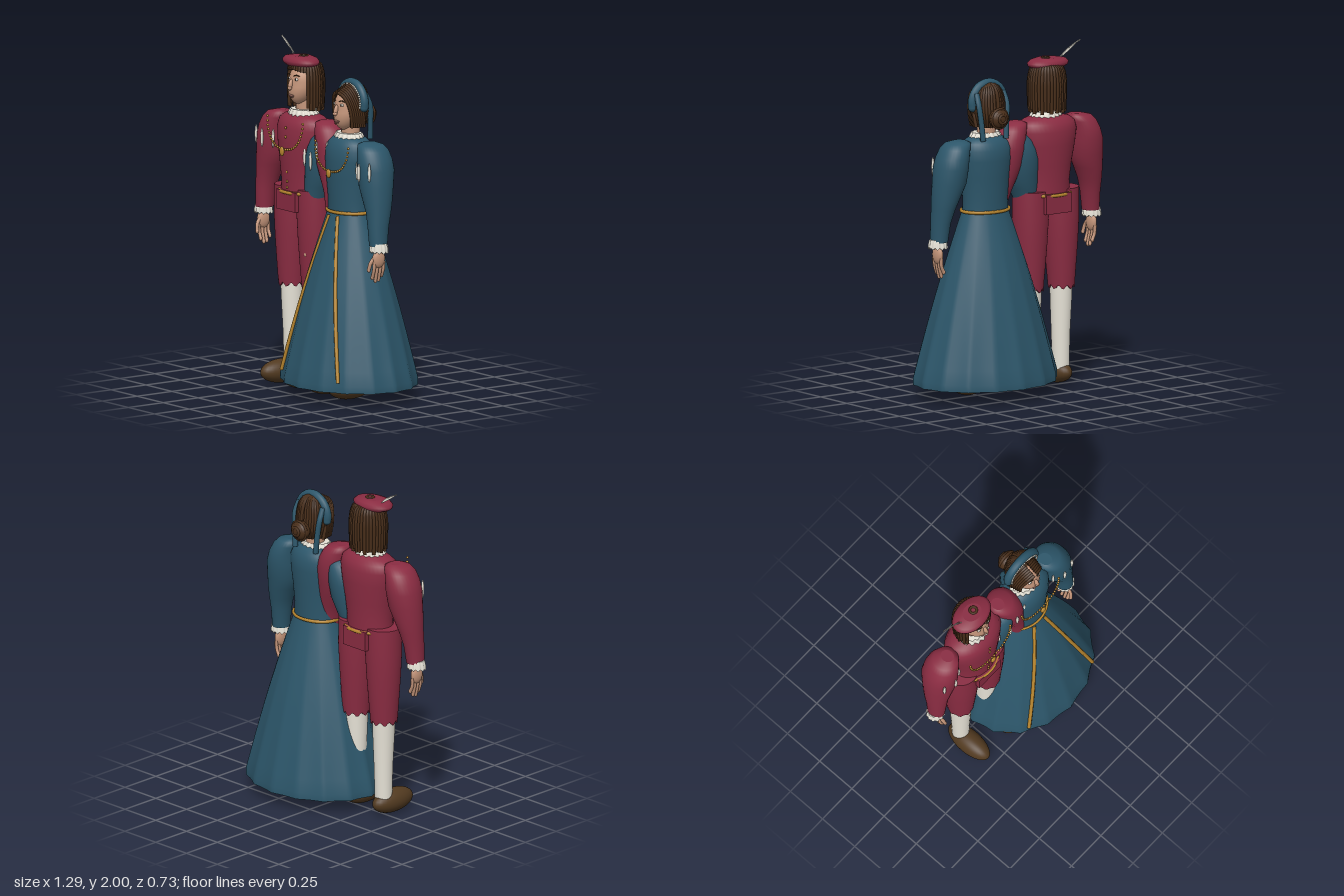
import * as THREE from 'three';

const mat = (name, color, side = THREE.FrontSide) => {
  const m = new THREE.MeshStandardMaterial({ color, side });
  m.name = name;
  return m;
};
const M = {
  red: mat('crimson cloth', 0x8a2c42), teal: mat('teal cloth', 0x2c566a),
  gold: mat('gold', 0xb8862f), white: mat('linen', 0xe8e4d8, THREE.DoubleSide),
  skin: mat('skin', 0xc4957a), hair: mat('brown hair', 0x4a2f1a),
  shoe: mat('shoe leather', 0x523a20), lip: mat('lip', 0x8c6156), dark: mat('pupil', 0x1d1512),
};
const V = (x, y, z) => new THREE.Vector3(x, y, z);

function add(parent, geo, material, name, x = 0, y = 0, z = 0) {
  const m = new THREE.Mesh(geo, material);
  m.name = name;
  m.position.set(x, y, z);
  parent.add(m);
  return m;
}
function ball(parent, material, name, [x, y, z], [rx, ry, rz], n = 20) {
  return add(parent, new THREE.SphereGeometry(1, n, Math.ceil(n * 0.7)).scale(rx, ry, rz), material, name, x, y, z);
}
function tube(parent, material, name, pts, r, seg = 10, sides = 6) {
  const curve = new THREE.CatmullRomCurve3(pts);
  return add(parent, new THREE.TubeGeometry(curve, seg, r, sides), material, name);
}

// Closed loft through elliptical rings [y, cx, cz, rx, rz]; wave(angle, i) scales and lowers each point
function loft(parent, material, name, rings, n = 32, wave = () => [1, 0]) {
  const rows = [...rings].sort((a, b) => a[0] - b[0]);
  const pos = [], idx = [];
  rows.forEach(([y, cx, cz, rx, rz], i) => {
    for (let j = 0; j < n; j++) {
      const a = (j / n) * Math.PI * 2, [k, dy] = wave(a, i);
      pos.push(cx + rx * k * Math.sin(a), y + dy, cz + rz * k * Math.cos(a));
    }
  });
  for (let i = 0; i < rows.length - 1; i++) for (let j = 0; j < n; j++) {
    const a = i * n + j, b = i * n + (j + 1) % n;
    idx.push(a, b, a + n, b, b + n, a + n);
  }
  [0, rows.length - 1].forEach((i) => {
    const start = pos.length / 3, [y, cx, cz] = rows[i];
    for (let j = 0; j < n * 3; j++) { if (j < n) pos.push(...pos.slice((i * n + j) * 3, (i * n + j) * 3 + 3)); }
    pos.push(cx, y, cz);
    for (let j = 0; j < n; j++) {
      const a = start + j, b = start + (j + 1) % n;
      idx.push(...(i ? [a, b, start + n] : [b, a, start + n]));
    }
  });
  const g = new THREE.BufferGeometry();
  g.setAttribute('position', new THREE.Float32BufferAttribute(pos, 3));
  g.setIndex(idx);
  g.computeVertexNormals();
  return add(parent, g, material, name);
}

// Pleated linen band for collars and cuffs
function ruff(parent, name, x, y, z, rx, rz, h, pleats) {
  loft(parent, M.white, name, [[y - h / 2, x, z, rx, rz], [y, x, z, rx * 0.96, rz * 0.96], [y + h / 2, x, z, rx * 0.85, rz * 0.85]],
    pleats * 4, (a, i) => [1 + 0.06 * Math.cos(a * pleats), i ? 0 : 0.006 * Math.sin(a * pleats)]);
}

// Puffed sleeve with linen slashes, cuff and hand; s mirrors it
function arm(parent, cloth, s, dx, dy) {
  const g = new THREE.Group();
  g.name = s > 0 ? 'leftArm' : 'rightArm';
  parent.add(g);
  const X = (x) => s * (x + dx), Y = (y) => y + dy;
  loft(g, cloth, 'sleeve', [
    [1.572, 0.215, -0.005, 0.035, 0.04], [1.56, 0.23, -0.005, 0.075, 0.075], [1.53, 0.25, -0.005, 0.085, 0.095], [1.48, 0.268, -0.005, 0.094, 0.106],
    [1.42, 0.28, -0.005, 0.1, 0.11], [1.33, 0.288, 0, 0.1, 0.1], [1.25, 0.308, 0.005, 0.083, 0.088],
    [1.18, 0.324, 0.01, 0.068, 0.075], [1.1, 0.335, 0.02, 0.056, 0.064], [0.99, 0.342, 0.025, 0.05, 0.054],
  ].map(([y, cx, ...r]) => [Y(y), X(cx), ...r]));
  [[0.2, 1.41, 0.07], [0.262, 1.41, 0.104], [0.34, 1.42, 0.087]].forEach(([x, y, z]) =>
    ball(g, M.white, 'sleeveSlash', [X(x), Y(y), z], [0.01, 0.055, 0.008], 12));
  ruff(g, 'cuff', X(0.35), Y(0.98), 0.026, 0.056, 0.052, 0.05, 12);
  ball(g, M.skin, 'palm', [X(0.35), Y(0.915), 0.028], [0.023, 0.055, 0.042]);
  for (let i = 0; i < 4; i++) {
    const z = 0.06 - i * 0.022, low = [0.805, 0.785, 0.79, 0.815][i];
    tube(g, M.skin, 'finger', [V(X(0.35), Y(0.9), z - 0.002), V(X(0.347), Y(0.85), z), V(X(0.332), Y(low), z)], 0.0105);
    ball(g, M.skin, 'fingertip', [X(0.332), Y(low), z], [0.0105, 0.014, 0.0105], 8);
  }
  tube(g, M.skin, 'thumb', [V(X(0.348), Y(0.93), 0.05), V(X(0.34), Y(0.89), 0.078), V(X(0.332), Y(0.85), 0.085)], 0.011);
  ball(g, M.skin, 'thumbTip', [X(0.332), Y(0.85), 0.085], [0.011, 0.013, 0.011], 8);
}

// Head with narrowed jaw and facial features; y is the head centre
function head(parent, y) {
  const g = new THREE.Group();
  g.name = 'head';
  g.position.y = y;
  parent.add(g);
  const geo = new THREE.SphereGeometry(1, 32, 24), p = geo.attributes.position;
  for (let i = 0; i < p.count; i++) {
    const t = Math.max(0, -p.getY(i)), f = p.getZ(i) > 0 ? 0.03 * t : 0;
    p.setXYZ(i, p.getX(i) * 0.084 * (1 - 0.25 * t * t), p.getY(i) * 0.122, p.getZ(i) * 0.09 + f);
  }
  geo.computeVertexNormals();
  add(g, geo, M.skin, 'face');
  loft(g, M.skin, 'neck', [[-0.2, 0, -0.01, 0.055, 0.055], [-0.06, 0, -0.01, 0.05, 0.055]], 20);
  const nose = ball(g, M.skin, 'nose', [0, -0.003, 0.094], [0.012, 0.034, 0.016], 14);
  nose.rotation.x = -0.25;
  ball(g, M.skin, 'noseTip', [0, -0.022, 0.102], [0.016, 0.011, 0.012], 12);
  ball(g, M.lip, 'lips', [0, -0.066, 0.09], [0.026, 0.007, 0.008], 14);
  ball(g, M.lip, 'lowerLip', [0, -0.075, 0.089], [0.018, 0.005, 0.007], 12);
  [-1, 1].forEach((s) => {
    ball(g, M.white, 'eye', [s * 0.034, 0.03, 0.078], [0.015, 0.008, 0.007], 12);
    ball(g, M.dark, 'pupil', [s * 0.034, 0.03, 0.083], [0.006, 0.007, 0.003], 10);
    tube(g, M.hair, 'eyebrow', [V(s * 0.016, 0.049, 0.084), V(s * 0.034, 0.055, 0.079), V(s * 0.053, 0.048, 0.068)], 0.0035);
  });
}

// Beaded chain hanging on the chest with a pendant
function necklace(parent, half, top, low, z, pendant) {
  for (let i = 0; i <= 26; i++) {
    const u = i / 13 - 1, a = u * Math.PI / 2;
    ball(parent, M.gold, 'chainBead', [half * Math.sin(a * 0.95), low + (top - low) * Math.pow(Math.abs(u), 2.2), z - 0.012 * u * u], [0.0075, 0.0075, 0.0075], 8);
  }
  ball(parent, M.gold, 'pendant', [0, low - 0.01, z + 0.012], pendant);
}
function belt(parent, y, rx, rz) {
  add(parent, new THREE.TorusGeometry(1, 0.06, 8, 48).rotateX(Math.PI / 2).scale(rx, 0.17, rz), M.gold, 'belt', 0, y, 0);
}
const shoe = (g, s, x) => ball(g, M.shoe, 'shoe', [s * x, 0.07, 0.07], [0.068, 0.07, 0.15], 28);

function makeMan() {
  const g = new THREE.Group();
  g.name = 'man';
  loft(g, M.red, 'doublet', [[1.1, 0, 0, 0.15, 0.118], [1.2, 0, 0, 0.146, 0.118], [1.3, 0, 0, 0.16, 0.125], [1.42, 0, -0.003, 0.184, 0.132],
    [1.5, 0, -0.005, 0.196, 0.13], [1.545, 0, -0.005, 0.185, 0.115], [1.57, 0, -0.005, 0.15, 0.09], [1.59, 0, 0, 0.07, 0.06]], 40);
  ruff(g, 'collar', 0, 1.588, 0, 0.1, 0.08, 0.042, 16);
  add(g, new THREE.BoxGeometry(0.18, 0.115, 0.26), M.red, 'breechesPanel', 0, 1.083, 0);
  belt(g, 1.132, 0.16, 0.132);
  [1.51, 1.455, 1.25, 1.195, 1.16].forEach((y) => ball(g, M.gold, 'button', [0, y, y > 1.4 ? 0.13 : 0.12], [0.008, 0.008, 0.006], 10));
  [-1, 1].forEach((s) => {
    loft(g, M.red, 'breechesLeg', [[1.155, 0.108, 0.105, 0.105], [1.0, 0.109, 0.106, 0.107], [0.85, 0.11, 0.098, 0.1],
      [0.7, 0.111, 0.086, 0.09], [0.62, 0.112, 0.079, 0.084], [0.575, 0.112, 0.076, 0.08]].map(([y, x, rx, rz]) => [y, s * x, 0, rx, rz]),
    40, (a, i) => (i ? [1, 0] : [1, 0.012 * Math.sin(a * 9)]));
    loft(g, M.white, 'stocking', [[0.64, 0.112, 0.066, 0.07], [0.5, 0.11, 0.062, 0.066], [0.3, 0.108, 0.054, 0.056], [0.08, 0.108, 0.049, 0.05]]
      .map(([y, x, rx, rz]) => [y, s * x, 0, rx, rz]));
    shoe(g, s, 0.112);
    arm(g, M.red, s, 0, 0);
  });
  necklace(g, 0.17, 1.555, 1.385, 0.145, [0.02, 0.028, 0.01]);
  head(g, 1.76);
  // Shoulder-length hair: under-cap plus strands
  ball(g, M.hair, 'hairCap', [0, 1.765, -0.025], [0.1, 0.118, 0.085]);
  for (let i = 0; i < 36; i++) {
    const a = (i / 36) * Math.PI * 2, c = Math.cos(a), s = Math.sin(a), front = c > 0.62;
    const low = 1.615 + 0.012 * Math.sin(i * 2.3), P = (r, y) => V(s * r, y, c * r * 0.93 - 0.012);
    tube(g, M.hair, 'hairStrand', front
      ? [P(0.03, 1.885), P(0.085, 1.872), P(0.1, 1.845 - 0.02 * Math.abs(s))]
      : [P(0.03, 1.888), P(0.085, 1.87), P(0.106, 1.8), P(0.107, 1.7), P(0.103, low)], 0.0115, 10, 5);
  }
  // Flat cap and feather
  loft(g, M.red, 'capBrim', [[1.862, -0.02, 0.005, 0.108, 0.075], [1.874, -0.02, 0.005, 0.13, 0.087], [1.89, -0.02, 0.005, 0.134, 0.089],
    [1.906, -0.02, 0.005, 0.115, 0.078], [1.917, -0.015, 0.005, 0.06, 0.05]], 36);
  add(g, new THREE.TorusGeometry(0.02, 0.008, 8, 20).rotateX(Math.PI / 2), M.hair, 'capButton', 0, 1.915, 0);
  tube(g, M.white, 'featherQuill', [V(-0.09, 1.9, 0), V(-0.14, 1.945, -0.008), V(-0.18, 1.972, -0.014), V(-0.235, 1.998, -0.02)], 0.003);
  const vane = new THREE.Shape();
  vane.moveTo(-0.1, 1.908);
  vane.quadraticCurveTo(-0.135, 1.96, -0.235, 2.0);
  vane.quadraticCurveTo(-0.17, 1.945, -0.1, 1.908);
  add(g, new THREE.ShapeGeometry(vane), M.white, 'featherVane', 0, 0, -0.012);
  return g;
}

function makeWoman() {
  const g = new THREE.Group();
  g.name = 'woman';
  loft(g, M.teal, 'bodice', [[1.05, 0, 0, 0.145, 0.108], [1.15, 0, 0, 0.14, 0.11], [1.28, 0, 0, 0.152, 0.12], [1.38, 0, -0.003, 0.165, 0.126],
    [1.44, 0, -0.005, 0.166, 0.122], [1.48, 0, -0.005, 0.15, 0.105], [1.505, 0, -0.005, 0.115, 0.085], [1.52, 0, 0, 0.06, 0.055]], 40);
  ruff(g, 'collar', 0, 1.517, 0, 0.098, 0.076, 0.038, 16);
  // Fluted skirt
  const size = (t) => { const b = 0.012 * Math.sin(Math.PI * t); return [0.145 + 0.302 * t + b, 0.11 + 0.255 * t + b]; };
  const rows = [[0.08, 0, 0, ...size(1)]];
  for (let i = 0; i <= 12; i++) rows.push([0.12 + 0.08 * i, 0, 0, ...size(1 - i / 12)]);
  loft(g, M.teal, 'skirt', rows, 128, (a, i) => [1 - 0.035 * Math.max(0, 1 - i / 13) * Math.abs(Math.sin(a * 8)), 0]);
  belt(g, 1.082, 0.15, 0.116);
  [-1, 1].forEach((s) => {
    const pts = [];
    for (let i = 0; i <= 8; i++) {
      const t = 0.02 + 0.96 * i / 8, [rx, rz] = size(t), x = 0.035 + 0.24 * t;
      pts.push(V(s * x, 1.08 - 0.96 * t, rz * Math.sqrt(1 - (x / rx) ** 2) - 0.002 * t));
    }
    tube(g, M.gold, 'skirtTrim', pts, 0.011, 32, 8);
    shoe(g, s, 0.102);
    arm(g, M.teal, s, -0.03, -0.068);
  });
  necklace(g, 0.158, 1.475, 1.32, 0.136, [0.02, 0.026, 0.01]);
  head(g, 1.675);
  // Parted hair swept over the ears and back into a bun
  ball(g, M.hair, 'hairCap', [0, 1.69, -0.025], [0.095, 0.125, 0.082]);
  [-1, 1].forEach((s) => {
    for (let k = 0; k < 7; k++) {
      const z = 0.07 - k * 0.012, w = 0.074 + k * 0.003;
      tube(g, M.hair, 'frontStrand', [V(s * 0.004, 1.775 + k * 0.007, z + 0.012), V(s * 0.045, 1.757 + k * 0.006, z + 0.004),
        V(s * w, 1.7, z - 0.014), V(s * (w + 0.007), 1.64, z - 0.026), V(s * w, 1.575, z - 0.035)], 0.011, 12, 5);
    }
    for (let k = 0; k < 9; k++) {
      const a = Math.PI * (0.52 + k * 0.054), x = s * Math.sin(a), z = Math.cos(a);
      tube(g, M.hair, 'backStrand', [V(x * 0.02, 1.82, z * 0.02 - 0.02), V(x * 0.07, 1.79, z * 0.065 - 0.02),
        V(x * 0.098, 1.7, z * 0.08 - 0.025), V(x * 0.088, 1.63, z * 0.082 - 0.025), V(x * 0.06, 1.575, z * 0.05 - 0.03)], 0.012, 12, 5);
    }
    // Hanging lappets of the hood
    tube(g, M.teal, 'lappet', [V(s * 0.095, 1.77, -0.045), V(s * 0.1, 1.7, -0.075), V(s * 0.09, 1.6, -0.085), V(s * 0.082, 1.5, -0.09)], 0.016, 16, 8);
  });
  ball(g, M.hair, 'bun', [0, 1.63, -0.13], [0.062, 0.058, 0.046]);
  for (let k = 0; k < 3; k++)
    add(g, new THREE.TorusGeometry(0.056 - k * 0.016, 0.009, 6, 24), M.hair, 'bunCoil', 0, 1.63, -0.14 - k * 0.014);
  // Arched hood with pearl edging
  const arc = (r, z, n) => Array.from({ length: n }, (_, i) => {
    const a = -0.2 + (Math.PI + 0.4) * i / (n - 1);
    return V(r * Math.cos(a), 1.712 + r * Math.sin(a), z);
  });
  tube(g, M.teal, 'hood', arc(0.112, -0.025, 13), 0.025, 40, 12);
  [0, 12].forEach((i) => { const p = arc(0.112, -0.025, 13)[i]; ball(g, M.teal, 'hoodEnd', [p.x, p.y, p.z], [0.025, 0.025, 0.025], 12); });
  arc(0.106, 0.001, 29).forEach((p) => ball(g, M.white, 'pearl', [p.x, p.y, p.z], [0.0065, 0.0065, 0.0065], 8));
  return g;
}

export function createModel() {
  const model = new THREE.Group();
  model.name = 'courtCouple';
  const man = makeMan(), woman = makeWoman();
  man.position.x = -0.24;
  woman.position.x = 0.195;
  model.add(man, woman);
  return model;
}
